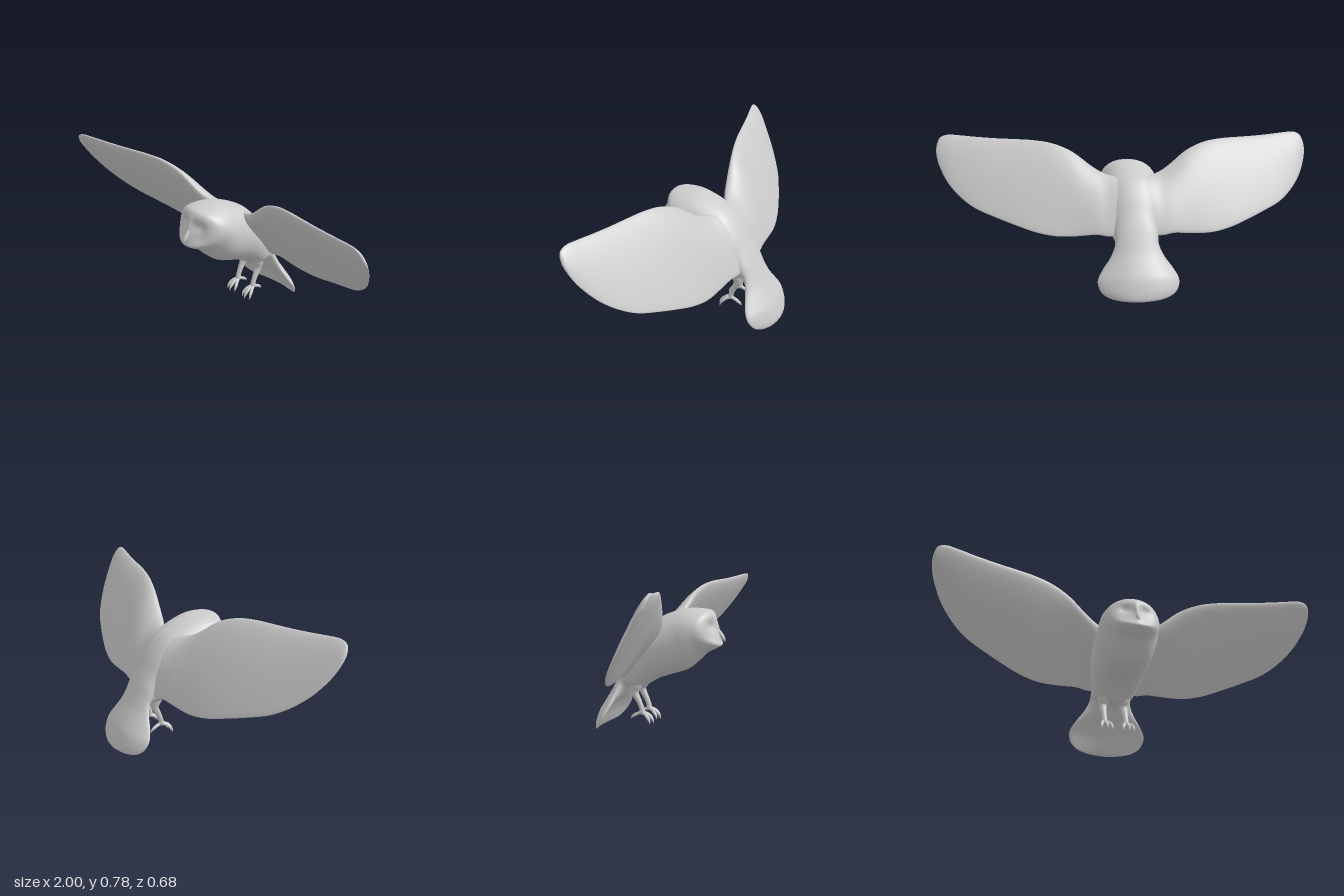
import * as THREE from 'three';

const material = new THREE.MeshStandardMaterial({ color: 0xcccccc, roughness: 0.7 });
const gauss = (dx, dy, s) => Math.exp(-(dx * dx + dy * dy) / (s * s));

// Catmull-Rom resampling of rows of numbers, column by column
function resample(rows, count) {
  const out = [];
  const last = rows.length - 1;
  for (let i = 0; i <= count; i++) {
    const u = (i / count) * last;
    const k = Math.min(Math.floor(u), last - 1);
    const t = u - k;
    const [a, b, c, d] = [k - 1, k, k + 1, k + 2].map((n) => rows[Math.max(0, Math.min(last, n))]);
    out.push(b.map((_, j) => 0.5 * (2 * b[j] + (c[j] - a[j]) * t
      + (2 * a[j] - 5 * b[j] + 4 * c[j] - d[j]) * t * t
      + (3 * b[j] - a[j] - 3 * c[j] + d[j]) * t * t * t)));
  }
  return out;
}

// Smooth skin over closed rings; winding is corrected so that faces point outward
function loft(name, rings) {
  const n = rings[0].length;
  const pts = rings.flat();
  const index = [];
  for (let i = 0; i < rings.length - 1; i++) {
    for (let j = 0; j < n; j++) {
      const a = i * n + j, b = i * n + ((j + 1) % n);
      index.push(a, b, a + n, b, b + n, a + n);
    }
  }
  const cross = new THREE.Vector3();
  let volume = 0;
  for (let i = 0; i < index.length; i += 3) {
    volume += pts[index[i]].dot(cross.crossVectors(pts[index[i + 1]], pts[index[i + 2]]));
  }
  if (volume < 0) index.reverse();
  const geometry = new THREE.BufferGeometry().setFromPoints(pts);
  geometry.setIndex(index);
  geometry.computeVertexNormals();
  const mesh = new THREE.Mesh(geometry, material);
  mesh.name = name;
  return mesh;
}

const ringOf = (n, fn) => Array.from({ length: n }, (_, j) => fn((j / n) * Math.PI * 2));

// Tapered round limb; rows are [x, y, z, radius]
function limb(name, rows, steps = 16, sides = 14) {
  const line = resample(rows, steps);
  const centre = line.map((r) => new THREE.Vector3(r[0], r[1], r[2]));
  const rings = line.map((r, i) => {
    const tangent = centre[Math.min(i + 1, steps)].clone().sub(centre[Math.max(i - 1, 0)]).normalize();
    const u = new THREE.Vector3(1, 0, 0).addScaledVector(tangent, -tangent.x).normalize();
    const v = tangent.clone().cross(u);
    const radius = Math.max(r[3], 0.0002);
    return ringOf(sides, (a) => centre[i].clone()
      .addScaledVector(u, radius * Math.cos(a)).addScaledVector(v, radius * Math.sin(a)));
  });
  rings.unshift(rings[0].map(() => centre[0].clone()));
  rings.push(rings[0].map(() => centre[steps].clone()));
  return loft(name, rings);
}

// Head, body and fanned tail: top z, y, bottom z, y, half width, forward sweep of the sides
const bodyRows = [
  [0.304, 0.54, 0.304, 0.54, 0, 0],
  [0.295, 0.58, 0.318, 0.49, 0.055, -0.012],
  [0.284, 0.615, 0.324, 0.463, 0.105, -0.034],
  [0.264, 0.636, 0.305, 0.449, 0.138, -0.052],
  [0.22, 0.644, 0.25, 0.42, 0.152, -0.048],
  [0.16, 0.645, 0.20, 0.372, 0.156, -0.03],
  [0.10, 0.635, 0.15, 0.332, 0.155, -0.012],
  [0.02, 0.605, 0.08, 0.308, 0.153, 0],
  [-0.05, 0.562, 0.0, 0.28, 0.148, 0],
  [-0.11, 0.49, -0.06, 0.245, 0.133, 0],
  [-0.152, 0.415, -0.105, 0.215, 0.118, 0],
  [-0.19, 0.345, -0.15, 0.228, 0.11, 0],
  [-0.219, 0.285, -0.178, 0.213, 0.112, 0.008],
  [-0.251, 0.22, -0.21, 0.175, 0.138, 0.025],
  [-0.287, 0.16, -0.25, 0.132, 0.178, 0.046],
  [-0.315, 0.11, -0.282, 0.085, 0.203, 0.052],
  [-0.333, 0.06, -0.305, 0.042, 0.19, 0.044],
  [-0.341, 0.028, -0.32, 0.016, 0.15, 0.03],
  [-0.342, 0.01, -0.331, 0.004, 0.085, 0.01],
  [-0.338, 0.001, -0.338, 0.001, 0, 0],
];

function makeBody() {
  const rings = resample(bodyRows, 152).map(([tz, ty, bz, by, w, sweep]) => ringOf(72, (a) => {
    const c = Math.cos(a), s = Math.sin(a);
    const x = Math.max(w, 0) * Math.sign(c) * Math.abs(c) ** 0.88;
    const y = (ty + by) / 2 + ((ty - by) / 2) * s - 0.15 * Math.max(sweep, 0) * c * c;
    let z = (tz + bz) / 2 + ((tz - bz) / 2) * s + sweep * c * c;
    // Hollowed eye sockets and a raised ridge down to the beak
    if (z > 0.18) {
      z -= 0.018 * gauss((Math.abs(x) - 0.05) * 0.8, y - 0.562, 0.03);
      z += 0.01 * gauss(x * 2.5, (y - 0.55) * 0.6, 0.032);
      z -= 0.007 * gauss((Math.abs(x) - 0.065) * 0.6, y - 0.51, 0.03);
    }
    return new THREE.Vector3(x, y, z);
  }));
  return loft('body', rings);
}

// Wing stations: x, leading y, z, trailing y, z, half thickness, camber
const wingRows = [
  [0.0, 0.565, -0.015, 0.30, -0.155, 0.032, 0.01],
  [0.08, 0.572, 0.015, 0.295, -0.158, 0.036, 0.011],
  [0.14, 0.588, 0.047, 0.295, -0.158, 0.038, 0.012],
  [0.20, 0.622, 0.068, 0.304, -0.152, 0.037, 0.012],
  [0.30, 0.698, 0.095, 0.297, -0.14, 0.033, 0.008],
  [0.40, 0.740, 0.122, 0.298, -0.13, 0.03, 0.004],
  [0.50, 0.756, 0.148, 0.317, -0.108, 0.028, 0.003],
  [0.60, 0.761, 0.171, 0.35, -0.075, 0.026, 0.003],
  [0.70, 0.765, 0.193, 0.386, -0.035, 0.024, 0.003],
  [0.80, 0.772, 0.215, 0.427, 0.01, 0.022, 0.002],
  [0.88, 0.779, 0.234, 0.484, 0.062, 0.019, 0.002],
  [0.94, 0.782, 0.246, 0.55, 0.114, 0.016, 0.002],
  [0.98, 0.768, 0.246, 0.622, 0.164, 0.012, 0.001],
  [0.996, 0.735, 0.232, 0.672, 0.194, 0.007, 0.001],
  [1.0, 0.705, 0.214, 0.705, 0.214, 0, 0],
];

// The right wing is carried a little further forward at its tip
function makeWing(name, side, advance) {
  const rings = resample(wingRows, 84).map(([x, ly, lz, ty, tz, thick, camber]) => {
    const dy = ly - ty, dz = lz - tz;
    const length = Math.hypot(dy, dz) || 1;
    return ringOf(48, (a) => {
      const s = 0.5 + 0.5 * Math.cos(a);
      const off = camber * Math.sin(Math.PI * s) + thick * Math.sin(a) * (0.5 + 0.8 * s);
      return new THREE.Vector3(side * Math.min(x, 1),
        ty + dy * s + (dz / length) * off, tz + dz * s - (dy / length) * off + advance * x * x);
    });
  });
  return loft(name, rings);
}

// Feathered thigh, slim shank and clawed toes
function makeLeg(name, side) {
  const leg = new THREE.Group();
  leg.name = name;
  const x = side * 0.057;
  leg.add(limb('shank', [
    [x * 0.9, 0.29, -0.11, 0.045], [x * 0.95, 0.235, -0.12, 0.033], [x, 0.2, -0.122, 0.02],
    [x, 0.155, -0.1, 0.0145], [x, 0.12, -0.086, 0.013], [x, 0.1, -0.084, 0.015], [x, 0.088, -0.084, 0.006],
  ], 24));
  for (const spread of [-1, 0, 1]) {
    const reach = spread === 0 ? 0.066 : 0.054;
    leg.add(limb('frontToe', [
      [x, 0.1, -0.088, 0.01], [x + spread * 0.014, 0.093, -0.086 + reach * 0.4, 0.0085],
      [x + spread * 0.023, 0.078, -0.086 + reach * 0.72, 0.0085],
      [x + spread * 0.027, 0.062, -0.086 + reach * 0.92, 0.006], [x + spread * 0.027, 0.044, -0.086 + reach, 0.0005],
    ]));
  }
  leg.add(limb('backToe', [
    [x, 0.1, -0.082, 0.01], [x, 0.093, -0.105, 0.0085], [x, 0.083, -0.125, 0.0085],
    [x, 0.074, -0.138, 0.006], [x, 0.06, -0.147, 0.0005],
  ]));
  return leg;
}

export function createModel() {
  const owl = new THREE.Group();
  owl.name = 'owl';
  owl.add(makeBody());
  // Hooked beak
  owl.add(limb('beak', [
    [0, 0.55, 0.297, 0.005], [0, 0.525, 0.313, 0.009], [0, 0.506, 0.324, 0.011],
    [0, 0.492, 0.334, 0.008], [0, 0.478, 0.342, 0.0005],
  ]));
  for (const [label, side, advance] of [['left', 1, 0], ['right', -1, 0.02]]) {
    owl.add(makeWing(`${label}Wing`, side, advance), makeLeg(`${label}Leg`, side));
    // Narrow slanted eye
    const eye = new THREE.Mesh(new THREE.SphereGeometry(1, 20, 14), material);
    eye.name = `${label}Eye`;
    eye.scale.set(0.02, 0.01, 0.011);
    eye.position.set(side * 0.052, 0.562, 0.262);
    eye.rotation.set(0, side * 0.5, side * 0.35);
    owl.add(eye);
  }
  return owl;
}
